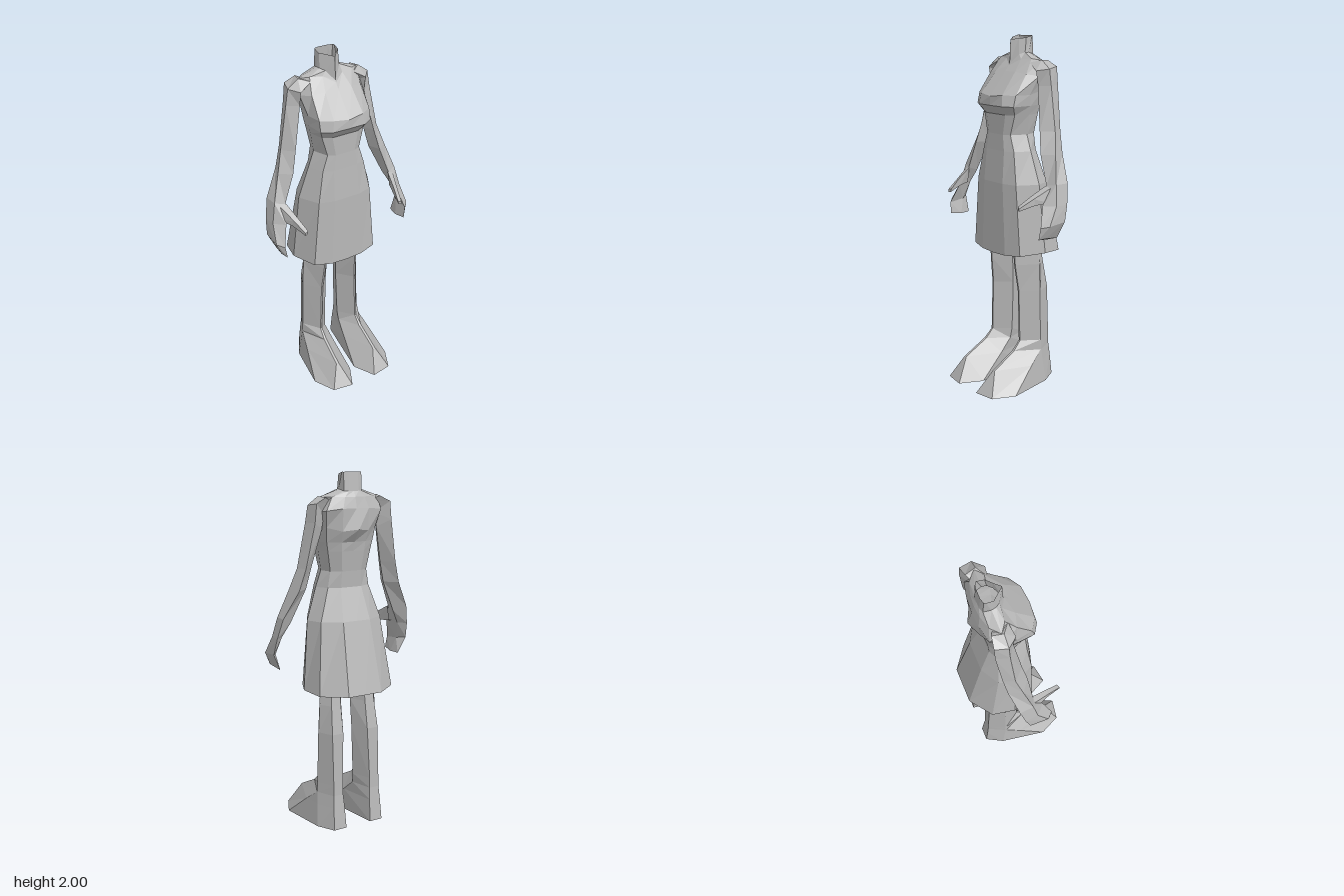
import * as THREE from 'three';

const grey = new THREE.MeshStandardMaterial({ color: 0xb8b8b8, flatShading: true, side: THREE.DoubleSide });
grey.name = 'plain grey';

// Skin a stack of equal-length rings of [x, y, z]; side -1 mirrors the part across x.
function skin(name, rings, { side = 1, capStart = false, capEnd = false } = {}) {
  const out = [];
  const tri = (a, b, c) => {
    for (const p of side > 0 ? [a, b, c] : [a, c, b]) out.push(p[0] * side, p[1], p[2]);
  };
  const n = rings[0].length;
  for (let r = 0; r < rings.length - 1; r++) {
    const lo = rings[r], hi = rings[r + 1];
    for (let i = 0; i < n; i++) {
      const j = (i + 1) % n;
      tri(lo[i], lo[j], hi[j]);
      tri(lo[i], hi[j], hi[i]);
    }
  }
  const last = rings[rings.length - 1];
  for (let i = 1; i < n - 1; i++) {
    if (capStart) tri(rings[0][0], rings[0][i + 1], rings[0][i]);
    if (capEnd) tri(last[0], last[i], last[i + 1]);
  }
  const geo = new THREE.BufferGeometry();
  geo.setAttribute('position', new THREE.Float32BufferAttribute(out, 3));
  geo.computeVertexNormals();
  const mesh = new THREE.Mesh(geo, grey);
  mesh.name = name;
  return mesh;
}

// Complete a half ring, listed from front centre to back centre.
const whole = (half) => [...half, ...half.slice(1, -1).reverse().map(([x, y, z]) => [-x, y, z])];
// Give a list of [x, z] points one height.
const level = (y, pts) => pts.map(([x, z]) => [x, y, z]);

export function createModel() {
  const model = new THREE.Group();
  model.name = 'figure';

  // Torso sections, shared where one garment part meets the next
  const waist = level(1.47, [[0, 0.07], [0.06, 0.07], [0.1, 0.05], [0.135, -0.04], [0.115, -0.11], [0.06, -0.145], [0, -0.145]]);
  const collar = [[0, 1.85, -0.03], [0.04, 1.9, -0.065], [0.06, 1.91, -0.09], [0.065, 1.91, -0.115], [0.055, 1.9, -0.155], [0.03, 1.9, -0.165], [0, 1.9, -0.165]];

  // Flared skirt, open at the hem
  model.add(skin('skirt', [
    [[0, 0.785, 0.09], [0.1, 0.79, 0.09], [0.2, 0.8, 0.065], [0.262, 0.81, -0.07], [0.235, 0.8, -0.2], [0.105, 0.8, -0.295], [0, 0.8, -0.295]],
    level(1.2, [[0, 0.09], [0.08, 0.09], [0.165, 0.065], [0.228, -0.05], [0.19, -0.14], [0.085, -0.2], [0, -0.2]]),
    level(1.38, [[0, 0.075], [0.075, 0.075], [0.13, 0.05], [0.168, -0.04], [0.13, -0.11], [0.065, -0.14], [0, -0.14]]),
    waist,
  ].map(whole)));

  // Bodice with bust shelf and projecting shoulder blades
  model.add(skin('bodice', [
    waist,
    level(1.58, [[0, 0.07], [0.08, 0.07], [0.13, 0.045], [0.152, -0.04], [0.135, -0.12], [0.07, -0.16], [0, -0.16]]),
    level(1.63, [[0, 0.112], [0.1, 0.11], [0.155, 0.075], [0.165, -0.04], [0.145, -0.125], [0.075, -0.165], [0, -0.17]]),
    [[0, 1.68, 0.11], [0.09, 1.69, 0.1], [0.155, 1.69, 0.06], [0.17, 1.69, -0.03], [0.155, 1.71, -0.14], [0.08, 1.69, -0.185], [0, 1.7, -0.222]],
    [[0, 1.81, 0], [0.08, 1.81, 0], [0.15, 1.8, -0.02], [0.19, 1.79, -0.08], [0.17, 1.8, -0.17], [0.08, 1.81, -0.19], [0, 1.81, -0.195]],
    [[0, 1.84, -0.025], [0.06, 1.875, -0.06], [0.13, 1.88, -0.075], [0.18, 1.872, -0.11], [0.13, 1.87, -0.155], [0.06, 1.87, -0.175], [0, 1.87, -0.18]],
    collar,
  ].map(whole)));

  // Short hollow neck
  model.add(skin('neck', [
    collar,
    [[0, 1.98, -0.035], [0.03, 1.985, -0.07], [0.058, 1.99, -0.1], [0.06, 2, -0.14], [0.03, 2, -0.155], [0, 2, -0.155]],
  ].map((r) => whole(r.length === 7 ? r : [...r.slice(0, 4), [0.055, 2, -0.148], ...r.slice(4)]))));

  for (const side of [1, -1]) {
    const word = side > 0 ? 'left' : 'right';

    // Arm from fingertips up to shoulder: front, outer, back, inner
    const wrist = [[0.34, 1.22, 0], [0.395, 1.23, -0.02], [0.4, 1.23, -0.1], [0.335, 1.2, -0.06]];
    model.add(skin(word + 'Hand', [
      [[0.39, 0.945, 0.1], [0.405, 0.95, 0.06], [0.39, 0.935, -0.035], [0.38, 0.935, 0.03]],
      [[0.4, 1.01, 0.095], [0.435, 1.02, 0.06], [0.435, 1.03, -0.05], [0.4, 1.02, 0]],
      [[0.365, 1.12, 0.05], [0.42, 1.12, 0], [0.425, 1.12, -0.075], [0.38, 1.12, -0.04]],
      wrist,
    ], { side, capStart: true }));
    model.add(skin(word + 'Thumb', [
      [[0.295, 1.12, 0.165], [0.315, 1.115, 0.172], [0.315, 1.1, 0.172], [0.3, 1.1, 0.165]],
      [[0.315, 1.17, 0.09], [0.34, 1.16, 0.09], [0.345, 1.125, 0.08], [0.32, 1.125, 0.08]],
      [[0.335, 1.22, 0], [0.37, 1.21, 0], [0.385, 1.13, 0], [0.35, 1.13, 0]],
    ], { side, capStart: true }));
    model.add(skin(word + 'Arm', [
      wrist,
      level(1.38, [[0.28, -0.01], [0.345, -0.06], [0.32, -0.135], [0.25, -0.08]]),
      level(1.5, [[0.25, -0.03], [0.308, -0.09], [0.285, -0.15], [0.22, -0.09]]),
      [[0.2, 1.74, -0.06], [0.262, 1.74, -0.1], [0.24, 1.74, -0.17], [0.172, 1.7, -0.12]],
      [[0.2, 1.82, -0.045], [0.247, 1.83, -0.1], [0.23, 1.84, -0.17], [0.16, 1.78, -0.12]],
      [[0.13, 1.86, -0.06], [0.185, 1.875, -0.1], [0.17, 1.87, -0.16], [0.1, 1.84, -0.12]],
    ], { side, capEnd: true }));

    // Foot and leg: two front points, two outer, two back, one inner
    const ankle = [[0.12, 0.21, 0.05], [0.135, 0.21, 0.05], [0.2, 0.2, -0.1], [0.2, 0.2, -0.105], [0.15, 0.2, -0.208], [0.09, 0.2, -0.208], [0.05, 0.2, -0.08]];
    model.add(skin(word + 'Foot', [
      level(0, [[0.08, 0.29], [0.2, 0.27], [0.26, 0.145], [0.215, -0.13], [0.16, -0.23], [0.08, -0.23], [0.015, 0.16]]),
      level(0.13, [[0.125, 0.2], [0.14, 0.2], [0.222, -0.01], [0.205, -0.113], [0.155, -0.216], [0.085, -0.216], [0.038, 0]]),
      ankle,
    ], { side, capStart: true }));
    model.add(skin(word + 'Leg', [
      ankle,
      level(0.26, [[0.12, 0], [0.13, 0], [0.198, -0.1], [0.198, -0.104], [0.15, -0.206], [0.09, -0.206], [0.045, -0.09]]),
      level(0.56, [[0.11, 0], [0.12, 0], [0.19, -0.1], [0.19, -0.104], [0.15, -0.192], [0.08, -0.192], [0.035, -0.09]]),
      level(0.72, [[0.1, 0.02], [0.11, 0.02], [0.182, -0.1], [0.182, -0.104], [0.14, -0.165], [0.08, -0.165], [0.03, -0.08]]),
      level(0.95, [[0.095, 0.035], [0.105, 0.035], [0.155, -0.08], [0.155, -0.084], [0.13, -0.13], [0.08, -0.13], [0.03, -0.07]]),
    ], { side }));
  }
  return model;
}
